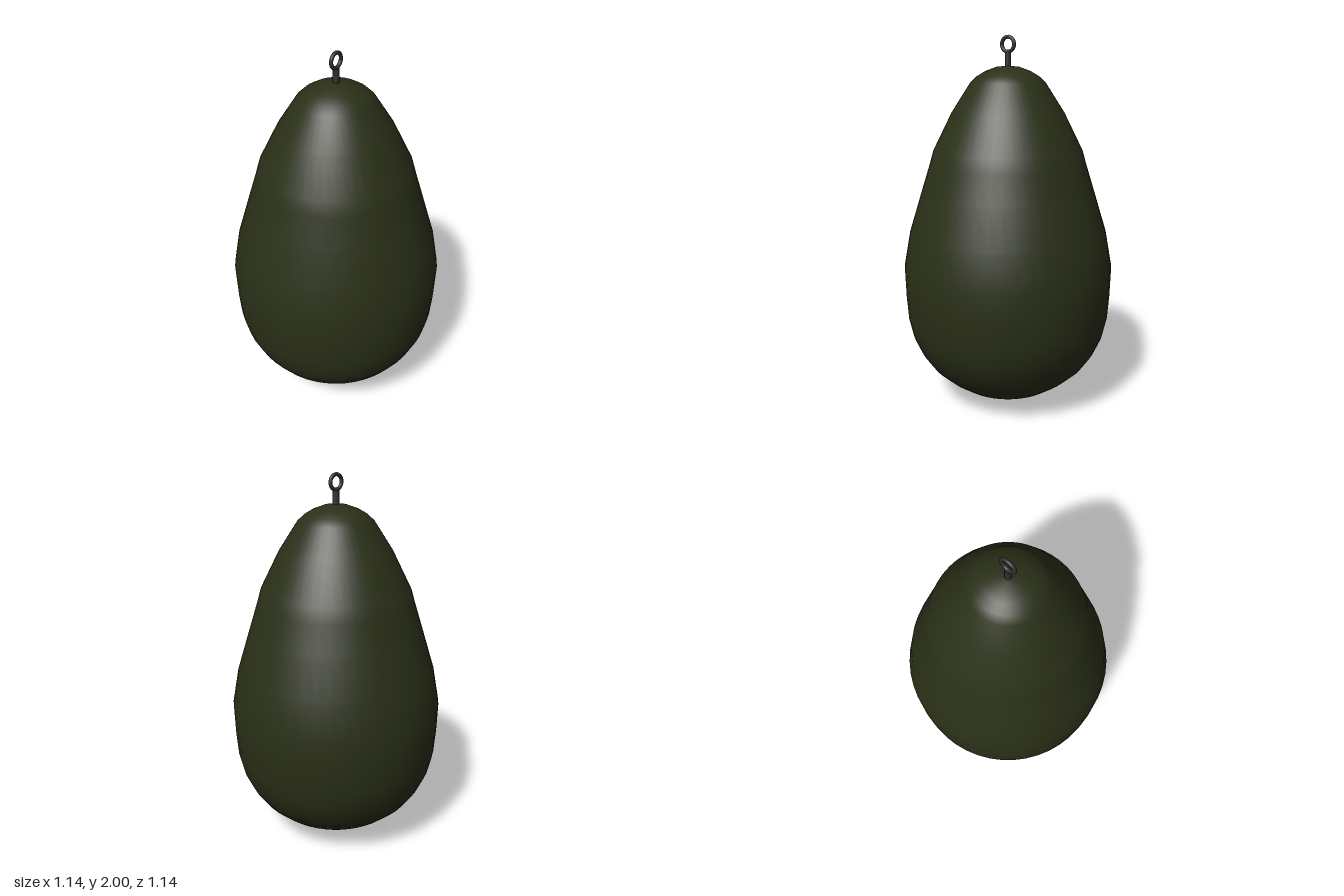
import * as THREE from 'three';

export function createModel() {
  const model = new THREE.Group();
  model.name = 'pearWeight';

  const bodyMaterial = new THREE.MeshStandardMaterial({ color: 0x2a3018 });
  const metalMaterial = new THREE.MeshStandardMaterial({ color: 0x303034 });

  const add = (name, geometry, material, y = 0) => {
    const mesh = new THREE.Mesh(geometry, material);
    mesh.name = name;
    mesh.position.y = y;
    model.add(mesh);
    return mesh;
  };

  // Pear-shaped body, profile from the bottom up
  const profile = [
    [0, 0], [0.085, 0.01], [0.175, 0.032], [0.265, 0.075], [0.35, 0.132],
    [0.43, 0.203], [0.487, 0.283], [0.53, 0.375], [0.555, 0.48], [0.565, 0.61],
    [0.57, 0.77], [0.535, 0.96], [0.47, 1.17], [0.42, 1.33], [0.4, 1.4],
    [0.3, 1.6], [0.2, 1.755], [0.165, 1.788], [0.12, 1.815], [0.06, 1.837], [0, 1.843],
  ].map(([r, y]) => new THREE.Vector2(r, y));
  add('body', new THREE.LatheGeometry(profile, 48), bodyMaterial);

  // Short post sunk into the crown
  add('post', new THREE.CylinderGeometry(0.017, 0.017, 0.09, 16), metalMaterial, 1.867);

  // Eyelet ring standing in the side plane
  const ring = add('eyelet', new THREE.TorusGeometry(0.038, 0.01, 12, 32), metalMaterial, 1.952);
  ring.rotation.y = Math.PI / 2;

  return model;
}
